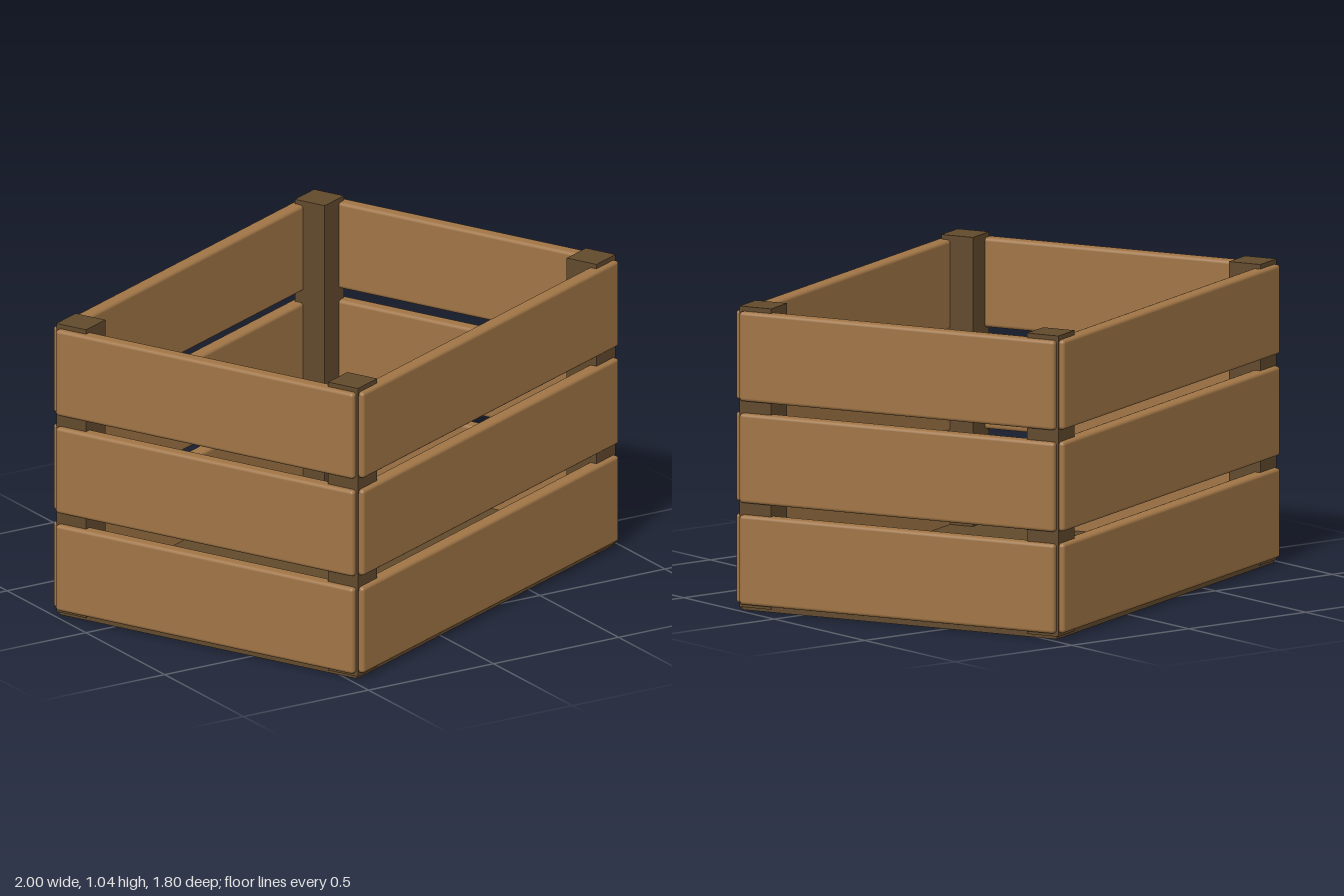
import * as THREE from 'three';
import { RoundedBoxGeometry } from 'three/addons/geometries/RoundedBoxGeometry.js';

const LENGTH = 1.6, WIDTH = 1.2, THICK = 0.052;
const PLANK_HEIGHT = 0.308, PITCH = 0.35, FIRST_Y = 0.175;

export function createModel() {
  const plankWood = new THREE.MeshStandardMaterial({ color: 0xa07546 });
  plankWood.name = 'light wood';
  const frameWood = new THREE.MeshStandardMaterial({ color: 0x624a2d });
  frameWood.name = 'dark wood';

  const model = new THREE.Group();
  model.name = 'slattedCrate';

  // The whole crate stands turned about its vertical axis
  const crate = new THREE.Group();
  crate.name = 'crate';
  crate.rotation.y = THREE.MathUtils.degToRad(25);
  model.add(crate);

  const add = (name, geometry, material, x, y, z) => {
    const mesh = new THREE.Mesh(geometry, material);
    mesh.name = name;
    mesh.position.set(x, y, z);
    crate.add(mesh);
  };

  // Floor board
  add('floor', new THREE.BoxGeometry(LENGTH, 0.05, WIDTH), frameWood, 0, 0.025, 0);

  // Corner posts, slightly taller than the planks
  const post = new THREE.BoxGeometry(0.12, 1.035, 0.12);
  for (const sx of [-1, 1]) {
    for (const sz of [-1, 1]) {
      add('cornerPost', post, frameWood, sx * 0.745, 0.5275, sz * 0.547);
    }
  }

  // Three rows of soft-edged planks on all four sides
  const longPlank = new RoundedBoxGeometry(LENGTH, PLANK_HEIGHT, THICK, 2, 0.012);
  const shortPlank = new RoundedBoxGeometry(THICK, PLANK_HEIGHT, WIDTH, 2, 0.012);
  for (let row = 0; row < 3; row++) {
    const y = FIRST_Y + row * PITCH;
    for (const s of [-1, 1]) {
      add('longPlank', longPlank, plankWood, 0, y, s * WIDTH / 2);
      add('shortPlank', shortPlank, plankWood, s * LENGTH / 2, y, 0);
    }
  }

  return model;
}
